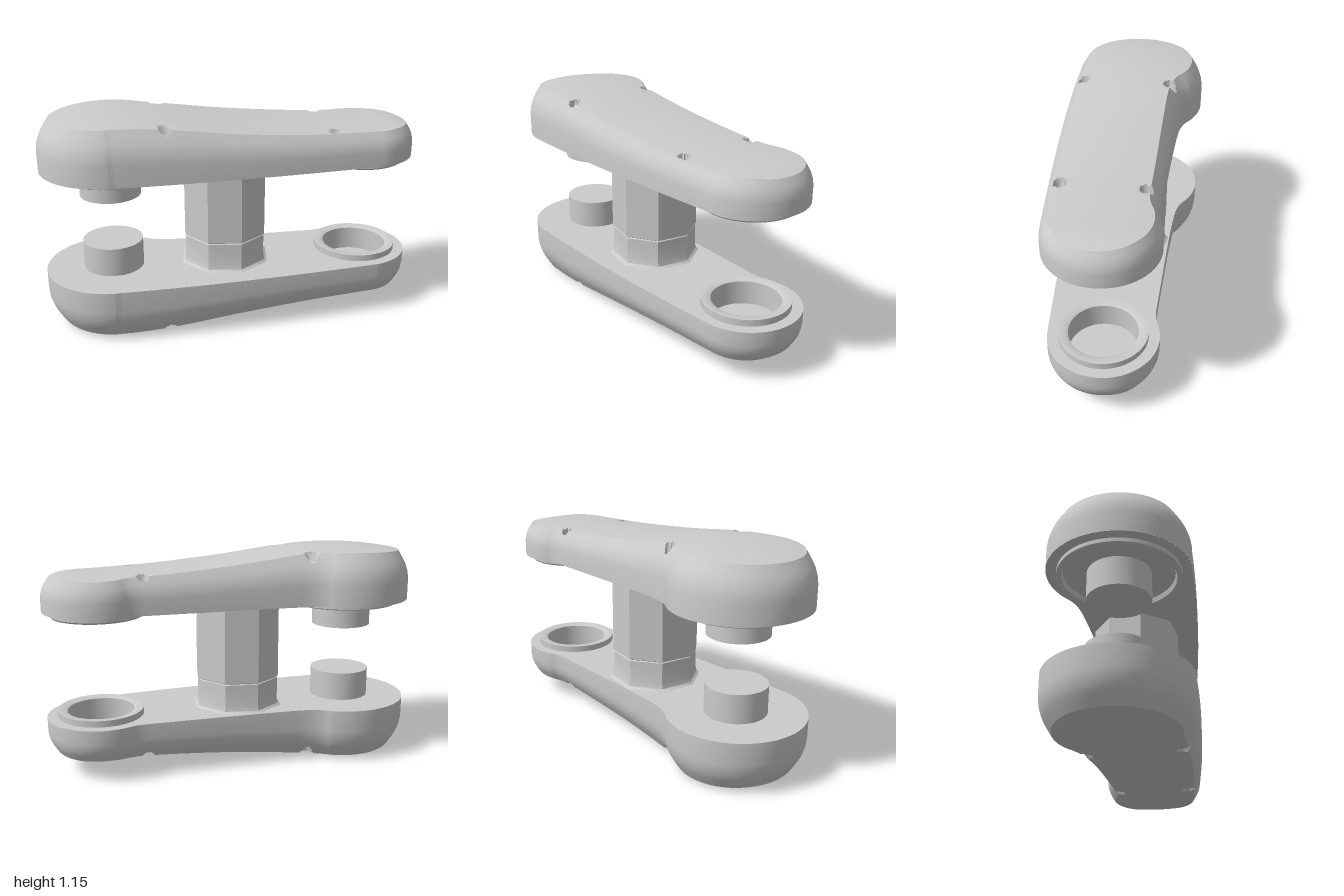
import * as THREE from 'three';
import { toCreasedNormals } from 'three/addons/utils/BufferGeometryUtils.js';

const MIRROR = 1.147;   // top half is the bottom half with y -> MIRROR - y
const DECK = 0.292;     // flat inner face of the bottom shell
const BIG = -0.64, SMALL = 0.72;   // x of the two round ends
const material = new THREE.MeshStandardMaterial({ color: 0xcccccc });

// Creased mesh, optionally flipped into the top half
function part(name, geometry, flip = false, crease = 0.6) {
  let g = geometry.index ? geometry.toNonIndexed() : geometry;
  if (flip) {
    const src = g.attributes.position, out = [];
    for (let i = 0; i < src.count; i += 3)
      for (const k of [0, 2, 1]) out.push(src.getX(i + k), MIRROR - src.getY(i + k), src.getZ(i + k));
    g = new THREE.BufferGeometry();
    g.setAttribute('position', new THREE.Float32BufferAttribute(out, 3));
  }
  const mesh = new THREE.Mesh(toCreasedNormals(g, crease), material);
  mesh.name = name;
  return mesh;
}

const lathe = (profile, segments, start = 0) =>
  new THREE.LatheGeometry(profile.map(p => new THREE.Vector2(...p)), segments, start);

// Plan outline in (x, z): big round end, long sides, small round end
function outline(count) {
  const s = new THREE.Shape();
  s.moveTo(BIG, 0.357);
  s.bezierCurveTo(-0.2, 0.362, 0.3, 0.325, 0.77, 0.276);
  s.absarc(SMALL, 0, 0.28, 1.39, -1.95, true);
  s.quadraticCurveTo(0.58, -0.238, 0.5, -0.24);
  s.bezierCurveTo(0.2, -0.246, -0.05, -0.243, -0.3, -0.258);
  s.quadraticCurveTo(-0.4, -0.265, -0.455, -0.308);
  s.absarc(BIG, 0, 0.36, -1.03, -Math.PI * 1.5, true);
  return s.getSpacedPoints(count).slice(0, count);
}

// Outer face of the shell: height along x plus a slight crown across z
const spine = new THREE.CubicInterpolant(
  [-0.94, -0.8, -0.62, -0.4, 0, 0.4, 0.7, 0.9, 0.96],
  [0.03, 0.01, 0, 0.01, 0.057, 0.09, 0.102, 0.11, 0.122], 1);
const faceY = (x, z) => spine.evaluate(x)[0] + 0.2 * z * z;

const SCREWS = [[-0.37, -0.2], [-0.37, 0.275], [0.51, -0.18], [0.51, 0.225]];

// Push vertices inside a screw recess up to its floor
function recess(x, y, z) {
  for (const [sx, sz] of SCREWS) {
    const d = Math.hypot(x - sx, z - sz);
    if (d < 0.037) y = Math.max(y, faceY(sx, sz) + 0.05 - Math.max(0, d - 0.025) * 6);
  }
  return y;
}

function shellGeometry() {
  const N = 480, pts = outline(N), pos = [], index = [];
  const normals = pts.map((p, j) => {
    const a = pts[(j + N - 1) % N], b = pts[(j + 1) % N];
    return new THREE.Vector2(a.y - b.y, b.x - a.x).normalize();
  });
  // Side wall: [fraction of height, fraction of inset]
  const rings = [[0, 0], [0.42, 0], [0.56, 0.08], [0.7, 0.27], [0.76, 0.39], [0.82, 0.53],
    [0.88, 0.68], [0.94, 0.84], [1, 1]].map(([h, inset]) => ({ h, inset, extra: 0, f: 1 }));
  // Outer face: fine steps by the edge, then shrinking to the centre line
  for (let e = 1; e <= 8; e++) rings.push({ h: 1, inset: 1, extra: e * 0.01, f: 1 });
  for (const f of [0.8, 0.6, 0.4, 0.2, 0]) rings.push({ h: 1, inset: 1, extra: 0.08, f });

  rings.forEach(({ h, inset, extra, f }, r) => {
    pts.forEach((p, j) => {
      const height = DECK - faceY(p.x, p.y);
      const d = 0.24 * height * inset + extra;
      let x = p.x - normals[j].x * d, z = p.y - normals[j].y * d;
      const edgeD = 0.24 * height;
      const edgeY = faceY(p.x - normals[j].x * edgeD, p.y - normals[j].y * edgeD);
      const cx = THREE.MathUtils.clamp(x, BIG, SMALL);
      x = cx + (x - cx) * f;
      z *= f;
      const y = h < 1 ? DECK + (edgeY - DECK) * h : faceY(x, z);
      pos.push(x, recess(x, y, z), z);
      if (r) {
        const k = (j + 1) % N, a = (r - 1) * N + j, b = (r - 1) * N + k, c = r * N + j, e = r * N + k;
        index.push(a, c, b, b, c, e);
      }
    });
  });
  const g = new THREE.BufferGeometry();
  g.setAttribute('position', new THREE.Float32BufferAttribute(pos, 3));
  g.setIndex(index);
  return g;
}

// Flat inner face with the socket opening
function deckGeometry() {
  const shape = new THREE.Shape(outline(160).map(p => new THREE.Vector2(p.x, -p.y)));
  shape.holes.push(new THREE.Path().absarc(SMALL, 0, 0.18, 0, Math.PI * 2));
  return new THREE.ShapeGeometry(shape, 24).rotateX(-Math.PI / 2).translate(0, DECK, 0);
}

export function createModel() {
  const model = new THREE.Group();
  model.name = 'twinPlateLink';

  for (const flip of [false, true]) {
    const half = new THREE.Group();
    half.name = flip ? 'topHalf' : 'bottomHalf';
    half.add(part('shell', shellGeometry(), flip));
    half.add(part('deck', deckGeometry(), flip));
    half.add(part('post', new THREE.CylinderGeometry(0.16, 0.16, 0.155, 48).translate(BIG, 0.3675, 0), flip));

    // Socket at the small end: plain rim below, grooved rim above
    const rim = flip
      ? [[0.245, 0.29], [0.245, 0.313], [0.235, 0.322], [0.222, 0.322], [0.222, 0.302], [0.205, 0.302],
        [0.205, 0.316], [0.165, 0.316], [0.165, 0.19], [0, 0.19]]
      : [[0.225, 0.29], [0.225, 0.326], [0.192, 0.326], [0.175, 0.318], [0.175, 0.19], [0, 0.19]];
    half.add(part('socket', lathe(rim, 48).translate(SMALL, 0, 0), flip));

    // Raised seat ring around the top post
    if (flip) {
      const ring = [[0.308, 0.29], [0.308, 0.312], [0.3, 0.317], [0.283, 0.317], [0.275, 0.29]];
      half.add(part('seatRing', lathe(ring, 64).translate(BIG, 0, 0), flip));
    }
    model.add(half);
  }

  // Eight-sided column with a flared foot and a seam
  const turn = THREE.MathUtils.degToRad(13);
  const column = [[0.25, 0.291], [0.234, 0.303], [0.227, 0.33], [0.227, 0.445], [0.222, 0.45],
    [0.231, 0.455], [0.231, 0.856]];
  model.add(part('column', lathe(column, 8, turn).translate(-0.03, 0, 0)));

  return model;
}
